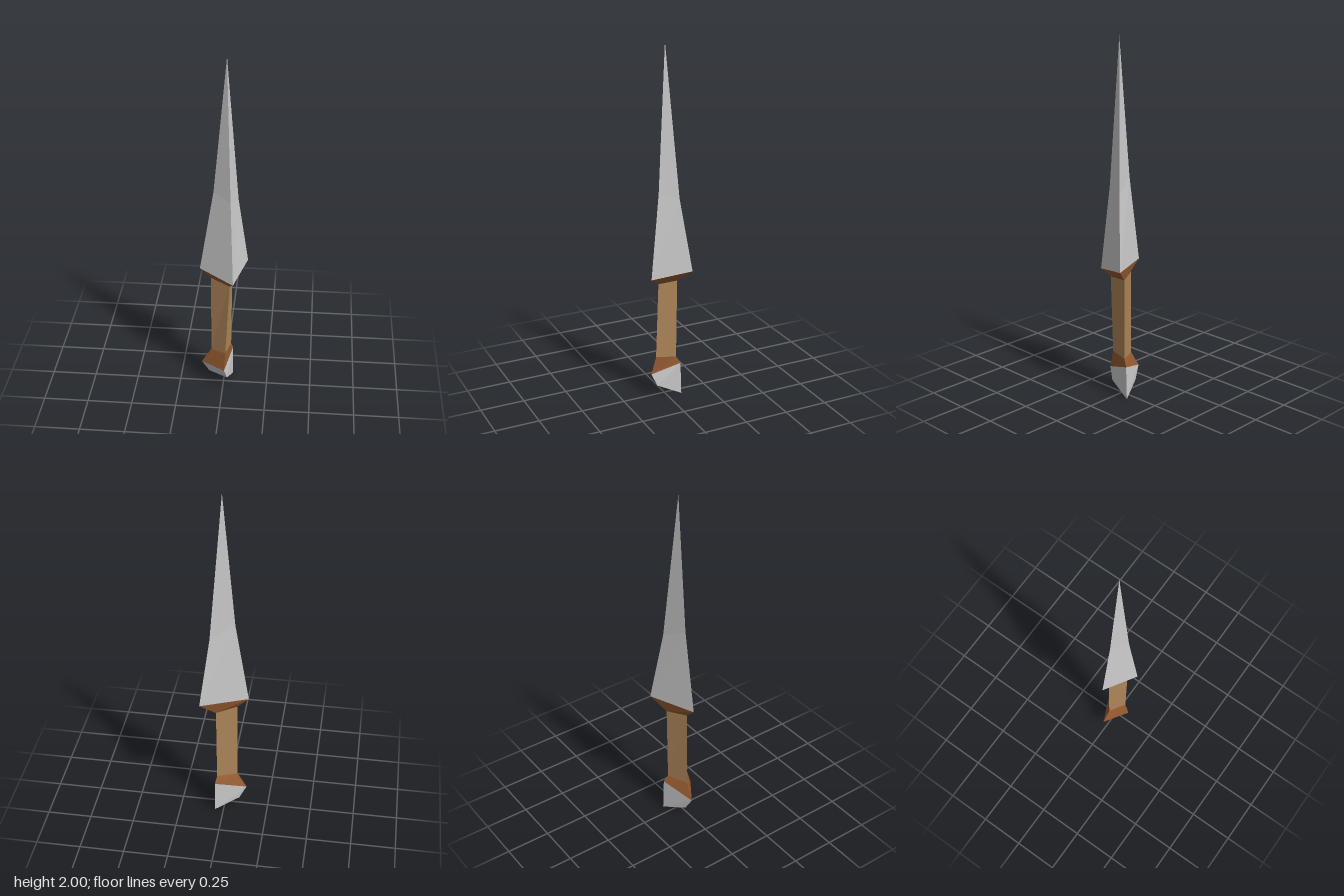
import * as THREE from 'three';

// Three-cornered cross-sections, listed as left, front and back corners
const tip = [0.018, 2, 0.005];
const rings = {
  pommelBottom: [[-0.085, 0.055, -0.02], [0.025, 0.066, 0.055], [0.05, 0, -0.083]],
  pommelTop: [[-0.125, 0.13, -0.005], [0.01, 0.135, 0.085], [0.05, 0.19, -0.077]],
  gripBottom: [[-0.07, 0.222, 0], [0.015, 0.238, 0.058], [0.04, 0.23, -0.054]],
  gripTop: [[-0.068, 0.703, 0], [0.037, 0.685, 0.053], [0.044, 0.69, -0.057]],
  bladeBase: [[-0.13, 0.762, 0], [0.06, 0.725, 0.105], [0.128, 0.765, -0.108]],
  bladeMiddle: [[-0.053, 1.24, -0.001], [0.042, 1.2, 0.053], [0.077, 1.17, -0.053]],
  bladeTip: [tip, tip, tip],
};

// Joins consecutive rings with flat sides, optionally closing the bottom
function loft(name, color, names, closeBottom = false) {
  const points = [];
  const sections = names.map((n) => rings[n]);
  for (let s = 0; s < sections.length - 1; s++) {
    const lo = sections[s], hi = sections[s + 1];
    for (let i = 0; i < 3; i++) {
      const j = (i + 1) % 3;
      points.push(lo[i], lo[j], hi[j]);
      if (hi[i] !== hi[j]) points.push(lo[i], hi[j], hi[i]);
    }
  }
  if (closeBottom) points.push(sections[0][2], sections[0][1], sections[0][0]);
  const geometry = new THREE.BufferGeometry();
  geometry.setAttribute('position', new THREE.Float32BufferAttribute(points.flat(), 3));
  geometry.computeVertexNormals();
  const mesh = new THREE.Mesh(geometry, new THREE.MeshStandardMaterial({ color, flatShading: true }));
  mesh.name = name;
  return mesh;
}

export function createModel() {
  const group = new THREE.Group();
  group.name = 'dagger';
  const steel = 0xcccccc, wood = 0xb0865a, leather = 0x975b30;
  group.add(
    loft('pommel', steel, ['pommelBottom', 'pommelTop'], true),
    loft('pommelCollar', leather, ['pommelTop', 'gripBottom']),
    loft('grip', wood, ['gripBottom', 'gripTop']),
    loft('guard', leather, ['gripTop', 'bladeBase']),
    loft('blade', steel, ['bladeBase', 'bladeMiddle', 'bladeTip']),
  );
  return group;
}
